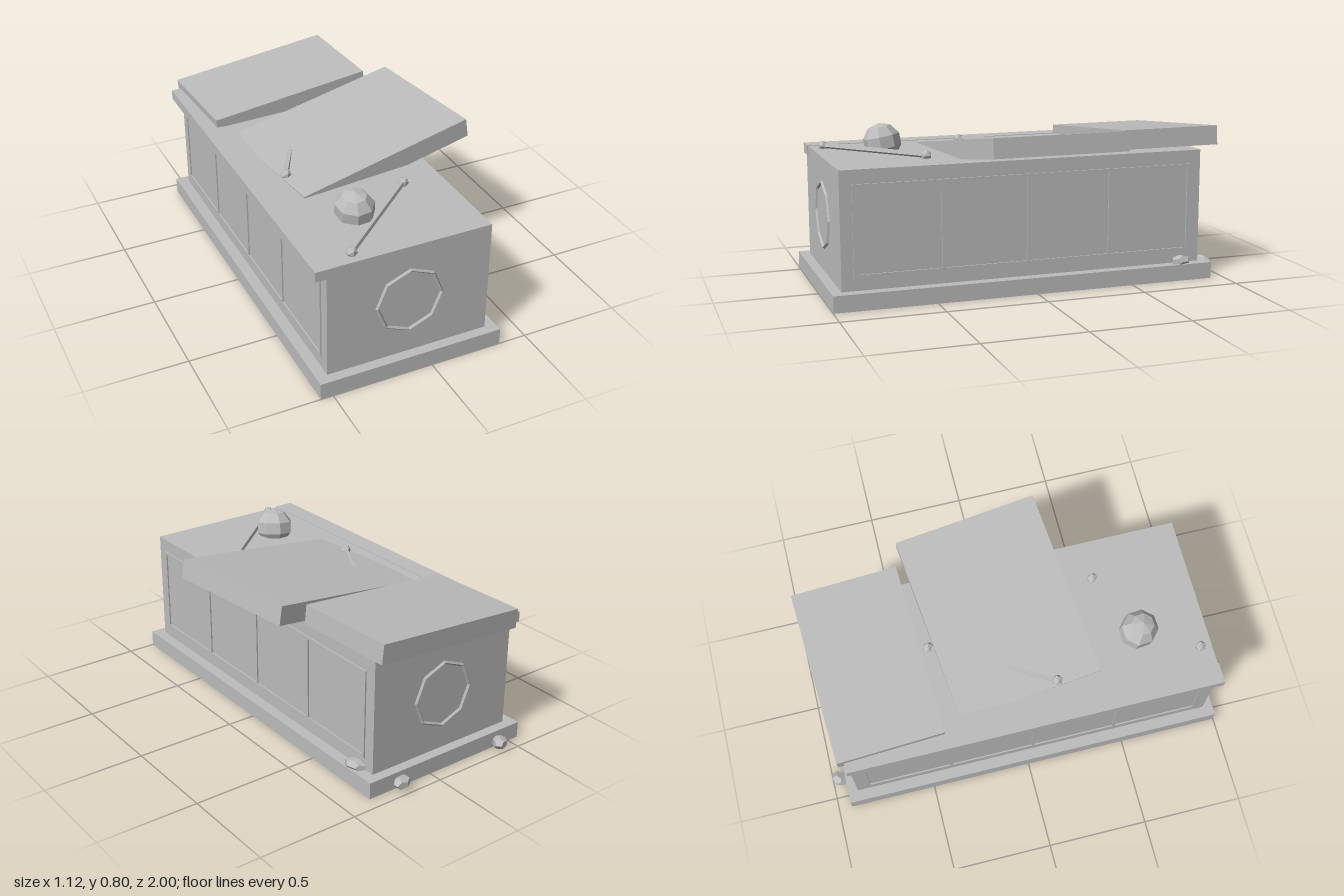
import * as THREE from 'three';

export function createModel() {
  const model = new THREE.Group();
  model.name = 'stoneTomb';
  const stone = new THREE.MeshStandardMaterial({ color: 0xbcbcbc, flatShading: true });
  stone.name = 'grey stone';

  function add(name, geometry, x, y, z) {
    const mesh = new THREE.Mesh(geometry, stone);
    mesh.name = name;
    mesh.position.set(x, y, z);
    model.add(mesh);
    return mesh;
  }
  const box = (name, w, h, d, x, y, z) => add(name, new THREE.BoxGeometry(w, h, d), x, y, z);

  // Plinth, chest and the remaining edge of the lid seat
  const cx = -0.1, cz = 0.033;
  box('plinth', 0.92, 0.082, 1.93, cx, 0.041, cz);
  box('chest', 0.81, 0.573, 1.83, cx, 0.3665, cz);
  box('leftRim', 0.1, 0.05, 1.84, -0.51, 0.631, cz);

  // Framed panels on both long sides
  for (const side of [-1, 1]) {
    const x = cx + side * 0.405;
    for (const y of [0.152, 0.578]) box('panelRail', 0.014, 0.014, 1.715, x, y, cz);
    for (let i = 0; i < 5; i++) box('panelPost', 0.014, 0.44, 0.014, x, 0.365, cz + (i - 2) * 0.425);
  }

  // Octagonal mouldings on both ends
  for (const side of [-1, 1]) {
    add('octagonMoulding', new THREE.TorusGeometry(0.162, 0.009, 4, 8), cx, 0.367, cz + side * 0.915);
  }

  // Two tilted pieces of the broken lid
  function slab(name, w, d, x, y, z, yaw, tilt) {
    const mesh = box(name, w, 0.095, d, x, y, z);
    mesh.rotation.set(0, yaw, tilt, 'ZYX');
  }
  slab('backLidPiece', 0.845, 0.52, -0.078, 0.688, -0.68, 0.05, 0.095);
  slab('frontLidPiece', 0.925, 0.71, 0.06, 0.678, -0.01, 0.115, 0.155);

  // Faceted skull
  const skull = add('skull', new THREE.SphereGeometry(0.1, 8, 5), -0.215, 0.694, 0.62);
  skull.scale.set(0.92, 0.95, 1);
  skull.rotation.set(0.12, 0.5, 0.1);

  // Bones with knobbed ends
  const knob = new THREE.IcosahedronGeometry(0.028, 0);
  function bone(x0, z0, x1, z1) {
    const length = Math.hypot(x1 - x0, z1 - z0);
    const shaft = new THREE.CylinderGeometry(0.014, 0.014, length, 5).rotateX(Math.PI / 2);
    const mesh = add('boneShaft', shaft, (x0 + x1) / 2, 0.668, (z0 + z1) / 2);
    mesh.rotation.y = Math.atan2(x1 - x0, z1 - z0);
    add('boneKnob', knob, x0, 0.666, z0);
    add('boneKnob', knob, x1, 0.666, z1);
  }
  bone(0.105, 0.48, -0.36, 0.89);
  bone(-0.05, -0.38, -0.36, 0.18);

  // Rubble around the plinth
  const chip = new THREE.DodecahedronGeometry(0.04, 0);
  [
    [0.325, 0.095, -0.78, 0.9, 0.7, 1.5, 0.3],
    [-0.41, 0.038, -0.965, 1.1, 0.8, 0.9, 0.7],
    [0.2, 0.048, -0.966, 1.25, 0.8, 0.85, 0.2],
  ].forEach(([x, y, z, sx, sy, sz, turn]) => {
    const mesh = add('rubble', chip, x, y, z);
    mesh.scale.set(sx, sy, sz);
    mesh.rotation.y = turn;
  });

  return model;
}
